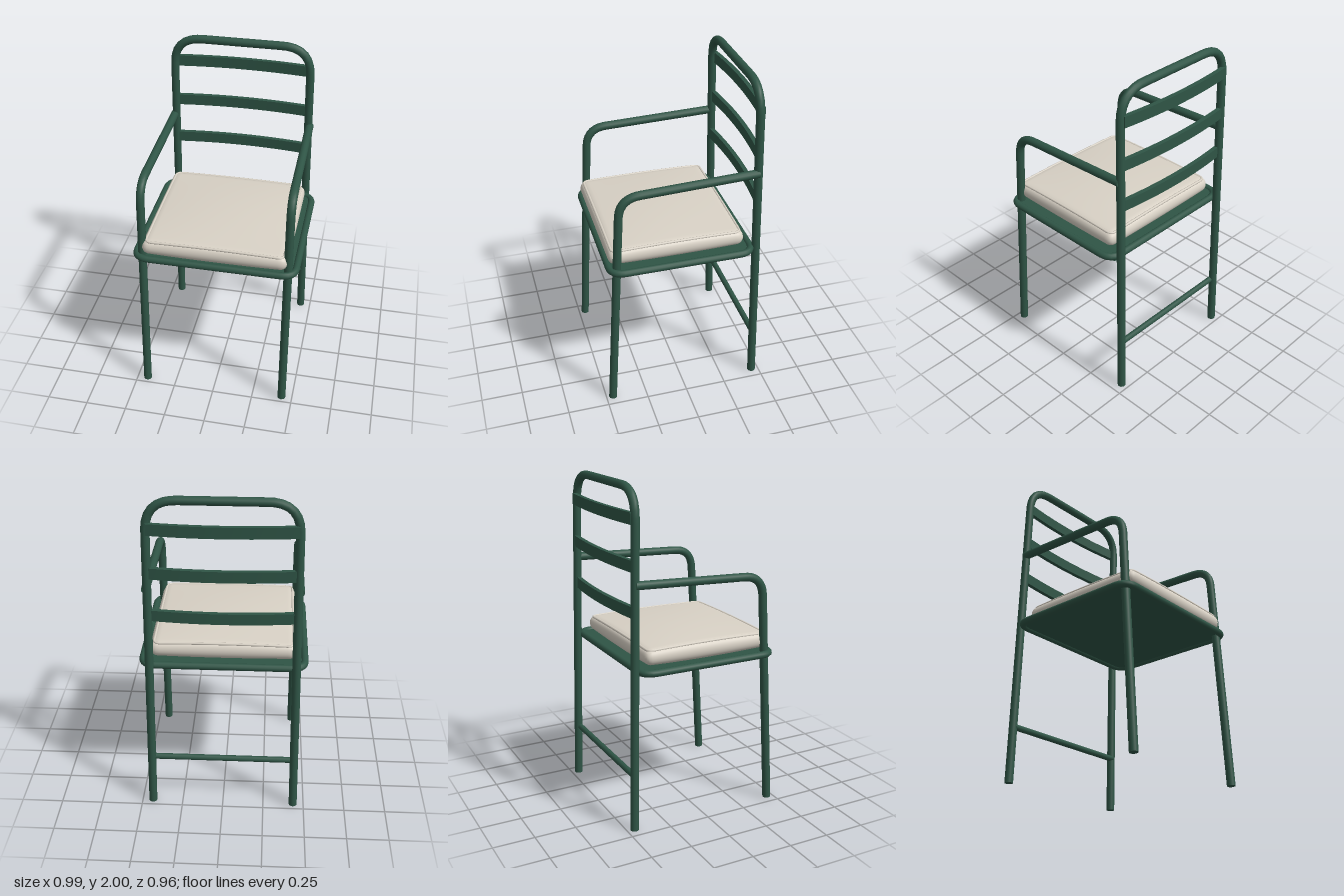
import * as THREE from 'three';
import { mergeVertices } from 'three/addons/utils/BufferGeometryUtils.js';

const V = (x, y, z) => new THREE.Vector3(x, y, z);

// Polyline whose inner corners are rounded; cut is the length trimmed at each corner
function roundedPath(points, cut, closed = false) {
  const path = new THREE.CurvePath();
  const n = points.length;
  const toward = (a, b) => a.clone().add(b.clone().sub(a).setLength(cut));
  let last = closed ? points[0].clone().lerp(points[n - 1], 0.5) : points[0];
  const start = last;
  for (let i = closed ? 0 : 1; i < (closed ? n : n - 1); i++) {
    const p = points[i];
    const a = toward(p, points[(i + n - 1) % n]);
    const b = toward(p, points[(i + 1) % n]);
    path.add(new THREE.LineCurve3(last, a));
    path.add(new THREE.QuadraticBezierCurve3(a, p, b));
    last = b;
  }
  path.add(new THREE.LineCurve3(last, closed ? start : points[n - 1]));
  return path;
}

export function createModel() {
  const group = new THREE.Group();
  const green = new THREE.MeshStandardMaterial({ name: 'green metal', color: 0x2f5546 });
  const cream = new THREE.MeshStandardMaterial({ name: 'cream fabric', color: 0xd8d1c5 });

  function add(name, geometry, material) {
    const mesh = new THREE.Mesh(geometry, material);
    mesh.name = name;
    group.add(mesh);
    return mesh;
  }

  // Tube with flat end caps
  function tube(name, path, radius, segments, material = green, closed = false) {
    const mesh = add(name, new THREE.TubeGeometry(path, segments, radius, 12, closed), material);
    if (closed) return;
    for (const t of [0, 1]) {
      const cap = new THREE.Mesh(new THREE.CircleGeometry(radius, 12), material);
      const out = path.getTangentAt(t).multiplyScalar(t ? 1 : -1);
      cap.name = name + 'Cap';
      cap.quaternion.setFromUnitVectors(V(0, 0, 1), out);
      cap.position.copy(path.getPointAt(t));
      mesh.add(cap);
    }
  }

  // Back legs and back hoop in one bent tube
  tube('backFrame', roundedPath([
    V(-0.435, 0.001, -0.456), V(-0.41, 1.976, -0.415),
    V(0.41, 1.976, -0.415), V(0.435, 0.001, -0.456),
  ], 0.17), 0.025, 120);

  // Front legs bending into the armrests
  for (const s of [-1, 1]) {
    tube(s > 0 ? 'leftFrontLegAndArm' : 'rightFrontLegAndArm', roundedPath([
      V(s * 0.435, 0.001, 0.459), V(s * 0.43, 1.427, 0.38), V(s * 0.425, 1.457, -0.428),
    ], 0.12), 0.025, 90);
  }

  // Rung between the back legs
  tube('backRung', new THREE.LineCurve3(V(-0.43, 0.33, -0.441), V(0.43, 0.33, -0.441)), 0.018, 1);

  // Three back slats bowed to the rear
  [[1.82, -0.462], [1.56, -0.456], [1.30, -0.451]].forEach(([y, z], i) => {
    const slat = new THREE.BoxGeometry(0.82, 0.066, 0.026, 16, 1, 1);
    const p = slat.attributes.position;
    for (let k = 0; k < p.count; k++) {
      p.setZ(k, p.getZ(k) + 0.027 * (p.getX(k) / 0.41) ** 2);
    }
    slat.computeVertexNormals();
    add('backSlat' + (i + 1), slat, green).position.set(0, y, z);
  });

  // Seat rim and the panel inside it
  const rim = roundedPath([
    V(-0.474, 0.959, -0.405), V(0.474, 0.959, -0.405),
    V(0.474, 0.959, 0.445), V(-0.474, 0.959, 0.445),
  ], 0.085, true);
  tube('seatRim', rim, 0.021, 160, green, true);
  const outline = new THREE.Shape(rim.getSpacedPoints(120).map((q) => new THREE.Vector2(q.x, -q.z)));
  const panel = new THREE.ExtrudeGeometry(outline, { depth: 0.016, bevelEnabled: false });
  panel.rotateX(-Math.PI / 2);
  add('seatPanel', panel, green).position.y = 0.951;

  // Cushion: box with fully rounded edges and a crowned top and bottom
  const hx = 0.43, hz = 0.406, r = 0.043;
  const crown = (x, z) => 0.03 * (1 - 0.75 * (x / hx) ** 2) * (1 - 0.75 * (z / hz) ** 2);
  let cushion = new THREE.BoxGeometry(2 * hx, 2 * r, 2 * hz, 44, 8, 44);
  cushion.deleteAttribute('normal');
  cushion.deleteAttribute('uv');
  const p = cushion.attributes.position;
  for (let i = 0; i < p.count; i++) {
    const v = V().fromBufferAttribute(p, i);
    const core = V(THREE.MathUtils.clamp(v.x, r - hx, hx - r), 0, THREE.MathUtils.clamp(v.z, r - hz, hz - r));
    v.sub(core).setLength(r).add(core);
    v.y += (v.y / r) * crown(v.x, v.z);
    p.setXYZ(i, v.x, v.y, v.z);
  }
  cushion = mergeVertices(cushion, 1e-4);
  cushion.computeVertexNormals();
  add('cushion', cushion, cream).position.set(0, 1.027, 0.042);

  // Piping following the crowned edge of the cushion
  const px = hx - 0.025, pz = hz - 0.022;
  const loop = roundedPath([V(-px, 0, -pz), V(px, 0, -pz), V(px, 0, pz), V(-px, 0, pz)], 0.03, true);
  const points = loop.getSpacedPoints(120).slice(0, -1).map((q) => V(q.x, 1.064 + crown(q.x, q.z), q.z + 0.042));
  const piping = new THREE.CatmullRomCurve3(points, true);
  add('cushionPiping', new THREE.TubeGeometry(piping, 160, 0.008, 8, true), cream);

  return group;
}
